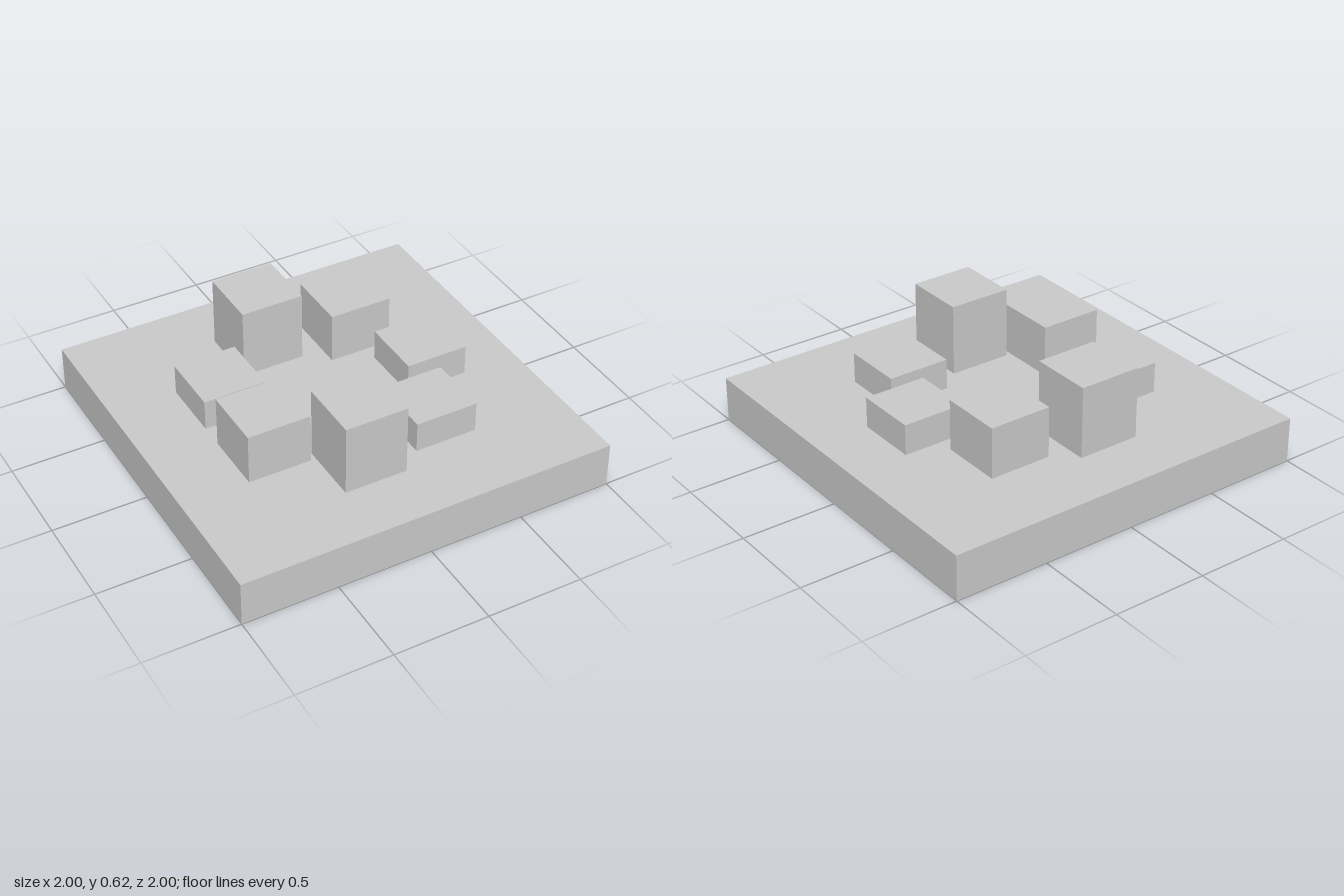
import * as THREE from 'three';

export function createModel() {
  const model = new THREE.Group();
  model.name = 'blockRingOnSlab';
  const material = new THREE.MeshStandardMaterial({ color: 0xcccccc, flatShading: true });

  // Box standing on the given height
  function addBox(name, width, height, depth, x, bottom, z) {
    const mesh = new THREE.Mesh(new THREE.BoxGeometry(width, height, depth), material);
    mesh.name = name;
    mesh.position.set(x, bottom + height / 2, z);
    model.add(mesh);
  }

  // Square base slab
  const slabHeight = 0.24;
  addBox('baseSlab', 2, slabHeight, 2, 0, 0, 0);

  // Ring of seven axis-aligned blocks, heights cycling low, middle, tall
  const count = 7, radius = 0.53, size = 0.332;
  const heights = [0.162, 0.269, 0.376];
  for (let i = 0; i < count; i++) {
    const angle = (i / count) * Math.PI * 2;
    addBox(`block${i + 1}`, size, heights[i % 3], size,
      Math.cos(angle) * radius, slabHeight, -Math.sin(angle) * radius);
  }
  return model;
}
